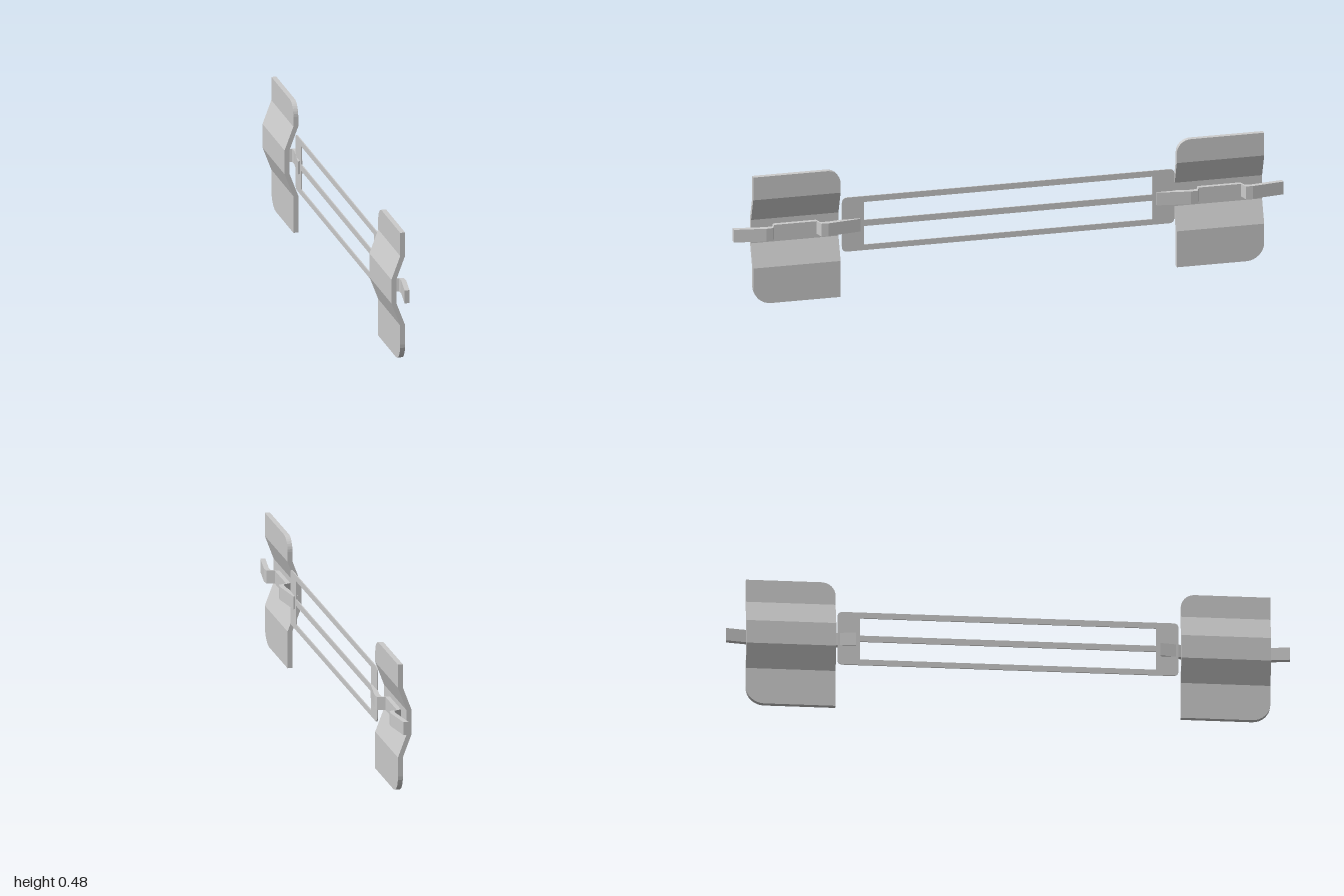
import * as THREE from 'three';

const material = new THREE.MeshStandardMaterial({ color: 0xcccccc, flatShading: true });

// Extrudes a shape drawn in (z, y) along +x, starting at x0.
function extrudeX(shape, x0, depth) {
  const g = new THREE.ExtrudeGeometry(shape, { depth, bevelEnabled: false, curveSegments: 6 });
  return g.rotateY(-Math.PI / 2).translate(x0 + depth, 0, 0);
}

function rect(path, a, b, c, d) {
  return path.moveTo(a, b).lineTo(c, b).lineTo(c, d).lineTo(a, d).closePath();
}

// Thin connecting frame with two long windows and rounded corners
function frameGeometry() {
  const z = 0.605, lo = 0.166, hi = 0.37, r = 0.02;
  const s = new THREE.Shape();
  s.moveTo(-z + r, lo).lineTo(z - r, lo).quadraticCurveTo(z, lo, z, lo + r);
  s.lineTo(z, hi - r).quadraticCurveTo(z, hi, z - r, hi);
  s.lineTo(-z + r, hi).quadraticCurveTo(-z, hi, -z, hi - r);
  s.lineTo(-z, lo + r).quadraticCurveTo(-z, lo, -z + r, lo);
  for (const [b, t] of [[0.187, 0.257], [0.28, 0.348]]) {
    s.holes.push(rect(new THREE.Path(), -0.525, b, 0.525, t));
  }
  return extrudeX(s, 0.005, 0.004);
}

// Bent plate lofted upward from four-cornered sections
function plateGeometry(side) {
  const inner = 0.612, outer = 0.93, top = 0.48, rTop = 0.05, rBottom = 0.065, thick = 0.018;
  const folds = [[0, -0.001], [0.136, -0.001], [0.22, -0.033], [0.308, -0.033], [0.394, -0.001], [top, -0.001]];
  const rows = folds.slice(1, 5).map(([y, x]) => [y, x, inner, outer]);
  const steps = 8;
  for (let i = 0; i <= steps; i++) {
    const a = (i / steps) * Math.PI / 2, c = 1 - Math.cos(a), s = 1 - Math.sin(a);
    rows.push([rBottom * c, -0.001, inner, outer - rBottom * s]);
    rows.push([top - rTop * c, -0.001, inner + rTop * s, outer]);
  }
  rows.sort((p, q) => p[0] - q[0]);

  const pos = [], idx = [];
  for (const [y, x, a, b] of rows) {
    const [za, zb] = side > 0 ? [a, b] : [-b, -a];
    pos.push(x, y, za, x, y, zb, x + thick, y, zb, x + thick, y, za);
  }
  for (let r = 0; r < rows.length - 1; r++) {
    for (let k = 0; k < 4; k++) {
      const p = r * 4 + k, q = r * 4 + (k + 1) % 4;
      idx.push(p, q, q + 4, p, q + 4, p + 4);
    }
  }
  const e = (rows.length - 1) * 4;
  idx.push(0, 2, 1, 0, 3, 2, e, e + 1, e + 2, e, e + 2, e + 3);
  const g = new THREE.BufferGeometry();
  g.setAttribute('position', new THREE.Float32BufferAttribute(pos, 3));
  g.setIndex(idx);
  const flat = g.toNonIndexed();
  flat.computeVertexNormals();
  return flat;
}

// Zigzag clip: a constant-thickness strip in the (x, z) plane, extruded upward
function clipGeometry(side) {
  const line = [[1, -0.003], [0.885, 0.014], [0.86, 0.012], [0.85, -0.017], [0.695, -0.017], [0.685, 0.012], [0.66, 0.014], [0.54, -0.003]];
  const thick = 0.018;
  const pts = [
    ...line.map(([z, x]) => new THREE.Vector2(x, -side * z)),
    ...line.slice().reverse().map(([z, x]) => new THREE.Vector2(x + thick, -side * z)),
  ];
  const g = new THREE.ExtrudeGeometry(new THREE.Shape(pts), { depth: 0.048, bevelEnabled: false });
  return g.rotateX(-Math.PI / 2).translate(0, 0.24, 0);
}

export function createModel() {
  const model = new THREE.Group();
  const add = (name, geometry) => {
    const mesh = new THREE.Mesh(geometry, material);
    mesh.name = name;
    model.add(mesh);
  };

  add('connectingFrame', frameGeometry());
  // One plate and clip at each end, mirrored front to back
  for (const [end, side] of [['front', 1], ['back', -1]]) {
    add(end + 'Plate', plateGeometry(side));
    add(end + 'Clip', clipGeometry(side));
  }
  return model;
}
